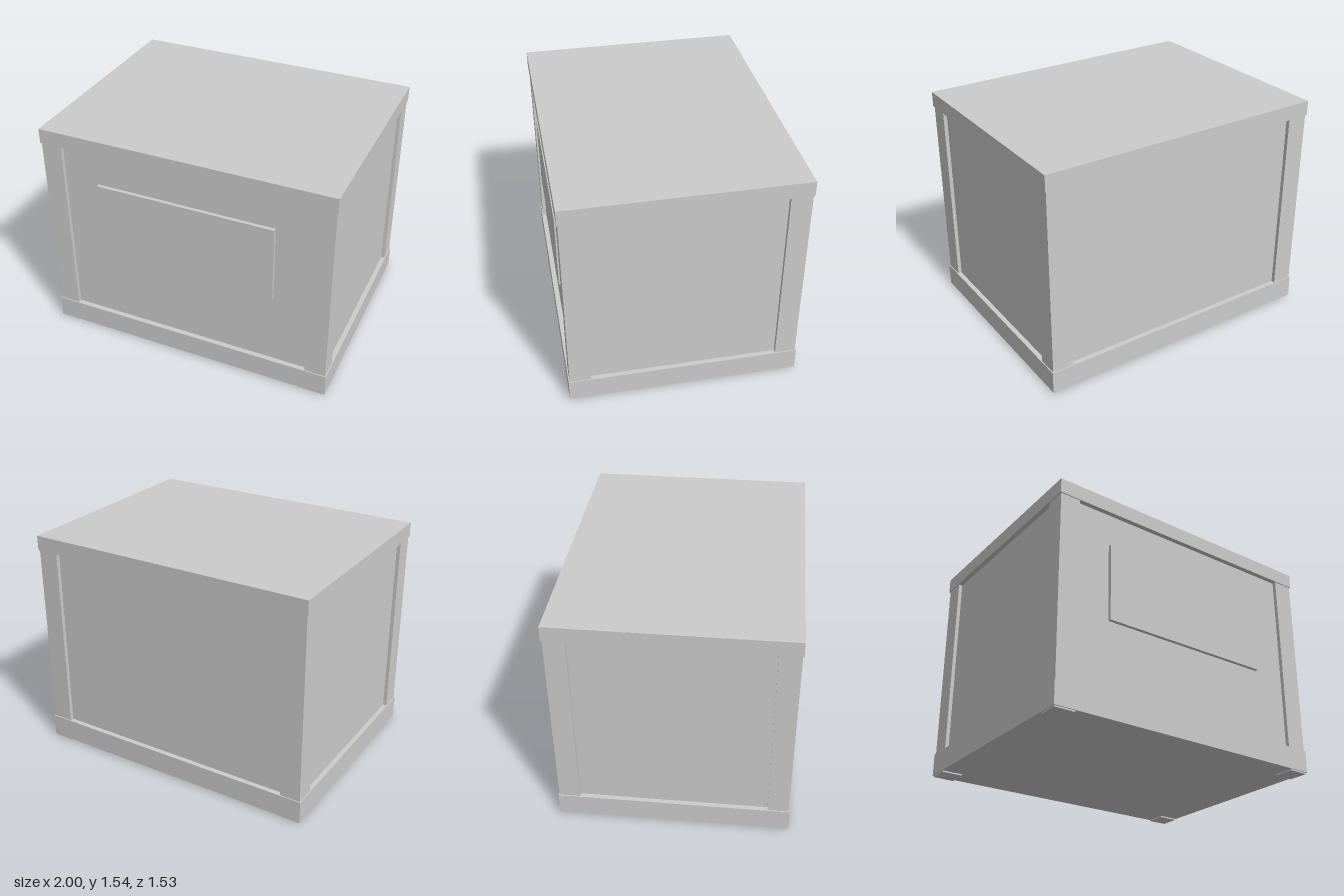
import * as THREE from 'three';

export function createModel() {
  const group = new THREE.Group();
  const material = new THREE.MeshStandardMaterial({ color: 0xcccccc, flatShading: true });

  // Box given by its width, depth and vertical extent
  function box(name, w, d, y0, y1, x = 0, z = 0) {
    const mesh = new THREE.Mesh(new THREE.BoxGeometry(w, y1 - y0, d), material);
    mesh.position.set(x, (y0 + y1) / 2, z);
    mesh.name = name;
    group.add(mesh);
  }

  // Lid, plinth and the recessed panels between them
  box('lid', 2, 1.534, 1.436, 1.538);
  box('base', 2, 1.534, 0.01, 0.163);
  box('body', 1.936, 1.466, 0.1, 1.45);

  // Corner posts, ending in small feet below the base
  for (const sx of [-1, 1])
    for (const sz of [-1, 1])
      box(`${sz > 0 ? 'front' : 'back'}${sx > 0 ? 'Left' : 'Right'}Post`,
        0.141, 0.138, 0, 1.45, sx * 0.9225, sz * 0.691);

  // Raised plate on the front panel
  box('frontPlate', 1.224, 0.045, 0.667, 1.202, 0, 0.7345);

  return group;
}
